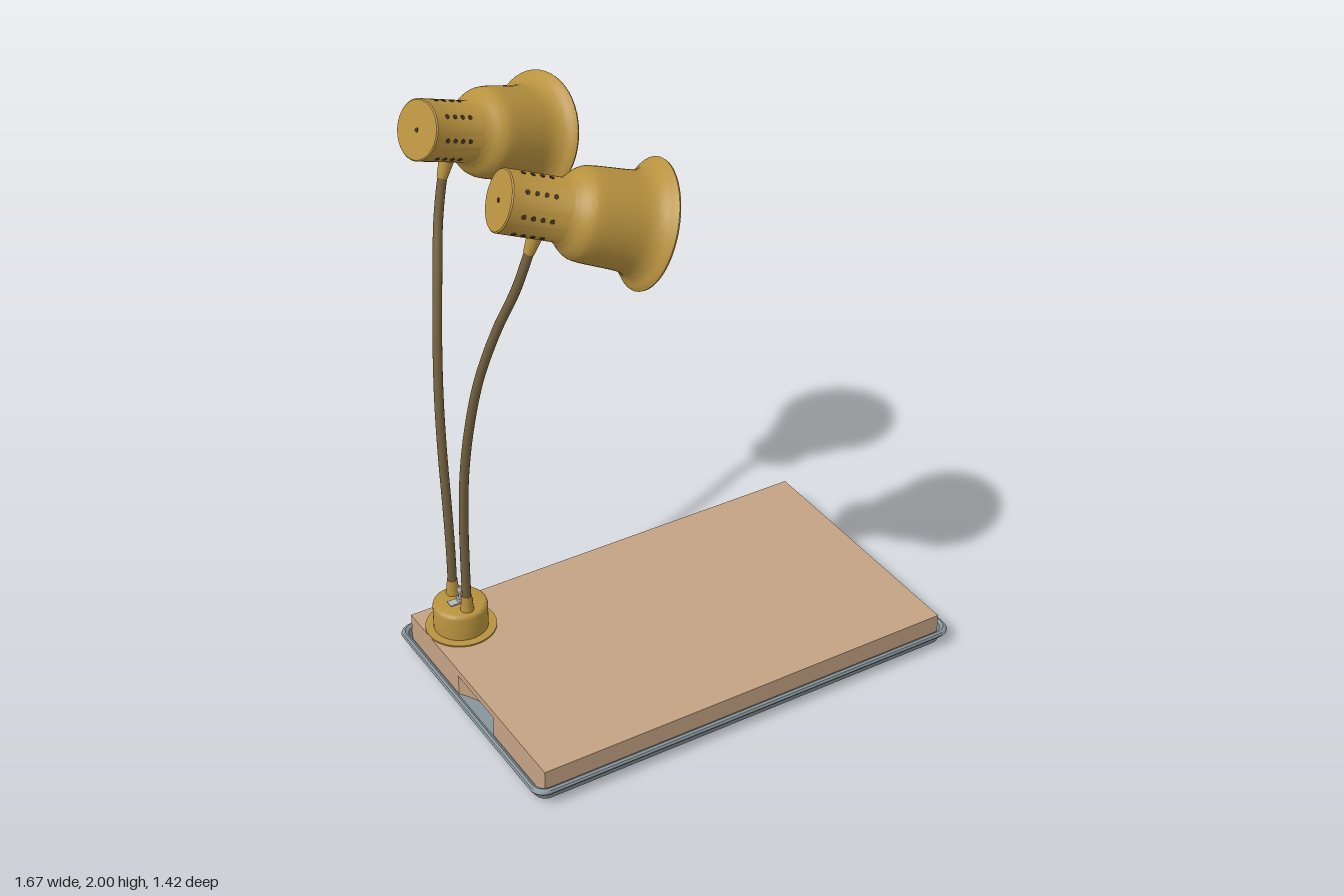
import * as THREE from 'three';
import { toCreasedNormals, mergeGeometries } from 'three/addons/utils/BufferGeometryUtils.js';

const V2 = (x, y) => new THREE.Vector2(x, y);
const V3 = (x, y, z) => new THREE.Vector3(x, y, z);

function material(name, color, double = false) {
  const m = new THREE.MeshStandardMaterial({ color });
  m.name = name;
  if (double) m.side = THREE.DoubleSide;
  return m;
}

function part(parent, name, geometry, mat, x = 0, y = 0, z = 0) {
  const mesh = new THREE.Mesh(geometry, mat);
  mesh.name = name;
  mesh.position.set(x, y, z);
  parent.add(mesh);
  return mesh;
}

const lathe = (pts, seg = 48) =>
  toCreasedNormals(new THREE.LatheGeometry(pts.map(p => V2(...p)), seg), 0.6);

// Rounded rectangle loops joined into a shell; each section is [halfX, halfZ, cornerRadius, y]
function loftRoundedRects(sections, steps = 6) {
  const pos = [], idx = [], n = 4 * (steps + 1);
  for (const [hx, hz, r, y] of sections) {
    for (let q = 0; q < 4; q++) {
      const cx = (q === 0 || q === 3 ? 1 : -1) * (hx - r), cz = (q < 2 ? 1 : -1) * (hz - r);
      for (let i = 0; i <= steps; i++) {
        const a = (q + i / steps) * Math.PI / 2;
        pos.push(cx + r * Math.cos(a), y, cz + r * Math.sin(a));
      }
    }
  }
  for (let s = 0; s < sections.length - 1; s++) {
    for (let i = 0; i < n; i++) {
      const a = s * n + i, b = s * n + (i + 1) % n;
      idx.push(a, a + n, b, b, a + n, b + n);
    }
  }
  // close the first loop (faces down) and the last loop (faces up)
  const last = (sections.length - 1) * n;
  for (let i = 1; i < n - 1; i++) {
    idx.push(0, i, i + 1);
    idx.push(last, last + i + 1, last + i);
  }
  const g = new THREE.BufferGeometry();
  g.setAttribute('position', new THREE.Float32BufferAttribute(pos, 3));
  g.setIndex(idx);
  return toCreasedNormals(g, 0.5);
}

export function createModel() {
  const model = new THREE.Group();
  model.name = 'heatLampServingStation';
  const gold = material('gold', 0xb8923f, true);
  const bronze = material('bronze', 0x73613f);
  const steel = material('steel', 0x87949a, true);
  const wood = material('wood', 0xc4a283);
  const white = material('bulbWhite', 0xe2e2e2);
  const dark = material('darkBrown', 0x4a3a1c);
  const silver = material('silver', 0xb4b6b8);

  // Tray with a raised, rolled rim
  part(model, 'tray', loftRoundedRects([
    [0.8, 0.475, 0.035, 0], [0.81, 0.485, 0.04, 0.006], [0.82, 0.495, 0.045, 0.04],
    [0.832, 0.507, 0.05, 0.042], [0.836, 0.511, 0.05, 0.05], [0.832, 0.507, 0.05, 0.058],
    [0.824, 0.499, 0.045, 0.062], [0.814, 0.489, 0.04, 0.056], [0.797, 0.485, 0.03, 0.012],
  ]), steel, 0, 0, 0.2);

  // Board: full upper layer, lower layer with scooped hand grips at both ends
  const bx = 0.79, bz = 0.48, grip = 0.125, scoop = 0.05;
  part(model, 'boardTop', new THREE.BoxGeometry(2 * bx, 0.026, 2 * bz), wood, 0, 0.104, 0.2);
  const outline = new THREE.Shape();
  outline.moveTo(-bx, -bz);
  outline.lineTo(bx, -bz);
  outline.lineTo(bx, -grip);
  outline.quadraticCurveTo(bx - 2 * scoop, 0, bx, grip);
  outline.lineTo(bx, bz);
  outline.lineTo(-bx, bz);
  outline.lineTo(-bx, grip);
  outline.quadraticCurveTo(-bx + 2 * scoop, 0, -bx, -grip);
  const lower = new THREE.ExtrudeGeometry(outline, { depth: 0.078, bevelEnabled: false, curveSegments: 16 });
  lower.rotateX(-Math.PI / 2);
  part(model, 'boardBottom', lower, wood, 0, 0.013, 0.2);

  // Round lamp base with flange, switch and power cord
  const baseX = -0.665, baseZ = -0.14;
  const base = new THREE.Group();
  base.name = 'lampBase';
  base.position.set(baseX, 0, baseZ);
  model.add(base);
  part(base, 'baseHousing', lathe([
    [0, 0.116], [0.125, 0.116], [0.125, 0.122], [0.096, 0.123], [0.096, 0.208],
    [0.094, 0.215], [0.089, 0.22], [0.082, 0.222], [0, 0.222],
  ]), gold);
  part(base, 'switchPlate', new THREE.BoxGeometry(0.085, 0.004, 0.03), silver, 0, 0.224, 0);
  part(base, 'switchNut', new THREE.CylinderGeometry(0.013, 0.013, 0.012, 6), silver, 0, 0.231, 0);
  part(base, 'switchLever', lathe([
    [0.005, 0.23], [0.005, 0.255], [0.009, 0.265], [0.009, 0.274], [0.005, 0.28], [0, 0.281],
  ], 12), silver);
  const cord = new THREE.CylinderGeometry(0.007, 0.007, 0.07, 12).rotateX(Math.PI / 2);
  part(base, 'powerCord', cord, dark, 0, 0.145, -0.122);
  const bushing = new THREE.CylinderGeometry(0.013, 0.013, 0.02, 12).rotateX(Math.PI / 2);
  part(base, 'cordBushing', bushing, dark, 0, 0.145, -0.1);

  // Shade: barrel, shoulder, bell and flared lip, with an inner wall
  const bell = new THREE.SplineCurve([
    [0.101, 0.2], [0.114, 0.222], [0.138, 0.25], [0.15, 0.28], [0.155, 0.35], [0.159, 0.42],
    [0.166, 0.455], [0.182, 0.482], [0.205, 0.5], [0.214, 0.509],
  ].map(p => V2(...p))).getPoints(30).map(p => [p.x, p.y]);
  const inner = bell.slice().reverse().map(([r, s]) => [r - 0.006, s + 0.004]);
  const shadeGeometry = lathe([[0, 0], [0.097, 0], [0.101, 0.004], ...bell, [0.212, 0.515], ...inner]);

  // Domed reflector bulb inside the shade
  const bulbPoints = [[0.05, 0.21], [0.08, 0.26], [0.14, 0.36]];
  for (let i = 0; i <= 12; i++) {
    const a = i / 12 * Math.PI / 2;
    bulbPoints.push([0.152 * Math.cos(a), 0.405 + 0.085 * Math.sin(a)]);
  }
  const bulbGeometry = lathe(bulbPoints);

  // Vent holes: eight rows of four round the barrel, plus one in the end cap
  const holes = [];
  for (let row = 0; row < 8; row++) {
    for (let i = 0; i < 4; i++) {
      holes.push(new THREE.CylinderGeometry(0.008, 0.008, 0.004, 10)
        .rotateZ(-Math.PI / 2).translate(0.101, 0.05 + 0.032 * i, 0).rotateY(row * Math.PI / 4));
    }
  }
  holes.push(new THREE.CylinderGeometry(0.008, 0.008, 0.004, 10));
  const holesGeometry = mergeGeometries(holes);

  // One lamp on each side of the base centre
  for (const side of [1, -1]) {
    const lamp = new THREE.Group();
    lamp.name = side > 0 ? 'frontLamp' : 'backLamp';
    lamp.position.set(0, 0, baseZ);
    model.add(lamp);

    const axis = V3(0.923, -0.344, 0.171 * side).normalize();
    const up = V3(0, 1, 0).addScaledVector(axis, -axis.y).normalize();
    const cap = V3(-0.6, 1.905, 0.275 * side);
    const head = new THREE.Group();
    head.name = 'lampHead';
    head.position.copy(cap);
    head.quaternion.setFromRotationMatrix(
      new THREE.Matrix4().makeBasis(up, axis, up.clone().cross(axis)));
    lamp.add(head);
    part(head, 'shade', shadeGeometry, gold);
    part(head, 'bulb', bulbGeometry, white);
    part(head, 'ventHoles', holesGeometry, dark);
    const collar = new THREE.CylinderGeometry(0.026, 0.018, 0.065, 20).rotateZ(-Math.PI / 2);
    part(head, 'neckCollar', collar, gold, -0.127, 0.155, 0);

    // Bent gooseneck from the base to the neck collar
    const joint = cap.clone().addScaledVector(axis, 0.155);
    const path = new THREE.CatmullRomCurve3([
      V3(baseX, 0.21, 0.054 * side), V3(baseX, 0.4, 0.054 * side), V3(-0.666, 0.6, 0.062 * side),
      V3(-0.664, 0.8, 0.08 * side), V3(-0.652, 1.0, 0.109 * side), V3(-0.628, 1.2, 0.147 * side),
      V3(-0.588, 1.4, 0.204 * side), V3(-0.545, 1.57, 0.265 * side),
      joint.clone().addScaledVector(up, -0.15), joint.clone().addScaledVector(up, -0.11),
    ]);
    part(lamp, 'gooseneck', new THREE.TubeGeometry(path, 64, 0.016, 14), bronze);
    part(lamp, 'baseCollar', new THREE.CylinderGeometry(0.018, 0.024, 0.065, 20), gold,
      baseX, 0.25, 0.054 * side);
  }
  return model;
}
